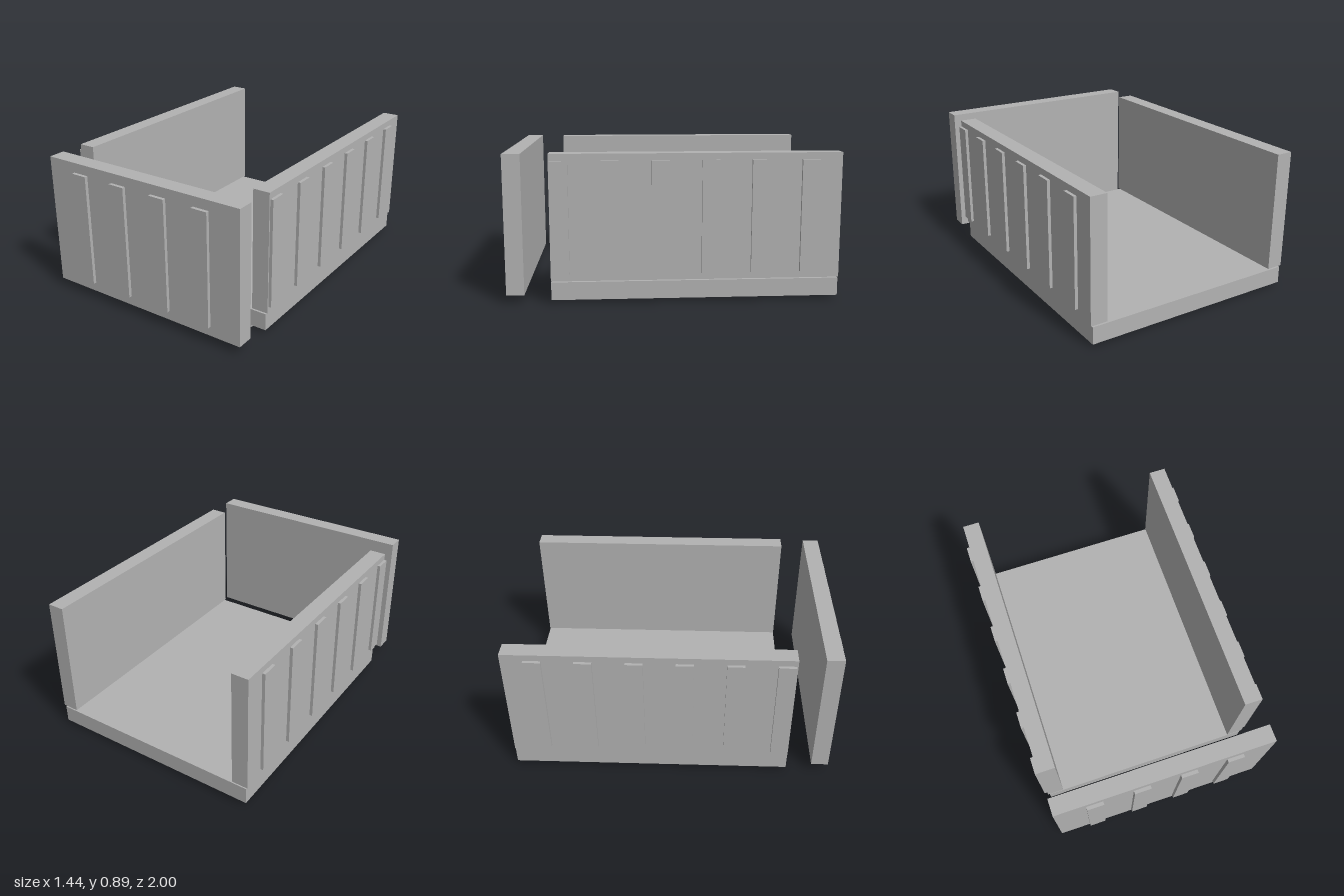
import * as THREE from 'three';

export function createModel() {
  const model = new THREE.Group();
  model.name = 'ribbedPanels';
  const grey = new THREE.MeshStandardMaterial({ color: 0xb2b2b2 });
  grey.name = 'plain grey';

  // Box given by its lower and upper limits on each axis
  function box(parent, name, [x0, x1], [y0, y1], [z0, z1]) {
    const mesh = new THREE.Mesh(new THREE.BoxGeometry(x1 - x0, y1 - y0, z1 - z0), grey);
    mesh.position.set((x0 + x1) / 2, (y0 + y1) / 2, (z0 + z1) / 2);
    mesh.name = name;
    parent.add(mesh);
  }
  function group(name) {
    const g = new THREE.Group();
    g.name = name;
    model.add(g);
    return g;
  }

  const pitch = 0.2935, half = 0.052;
  const span = (start, i) => [start + i * pitch - half, start + i * pitch + half];
  const length = [-1, 0.715];

  // Floor slab with cross ribs underneath
  const floor = group('floor');
  box(floor, 'floorSlab', [-0.692, 0.69], [0.022, 0.13], length);
  for (let i = 0; i < 6; i++) box(floor, 'floorRib', [-0.588, 0.586], [0, 0.022], span(-0.812, i));

  // Side walls with upright ribs on the outside
  for (const s of [1, -1]) {
    const wall = group(s > 0 ? 'leftWall' : 'rightWall');
    const across = (a, b) => (s > 0 ? [a, b] : [-b, -a]);
    box(wall, 'wallPanel', across(0.597, 0.702), [0.139, 0.89], length);
    for (let i = 0; i < 6; i++) box(wall, 'wallRib', across(0.702, 0.721), [0.181, 0.85], span(-0.812, i));
  }

  // Detached front panel with upright ribs
  const front = group('frontPanel');
  box(front, 'frontSlab', [-0.692, 0.69], [0.055, 0.89], [0.873, 0.979]);
  for (let i = 0; i < 4; i++) box(front, 'frontRib', span(-0.442, i), [0.116, 0.828], [0.979, 1]);

  return model;
}
